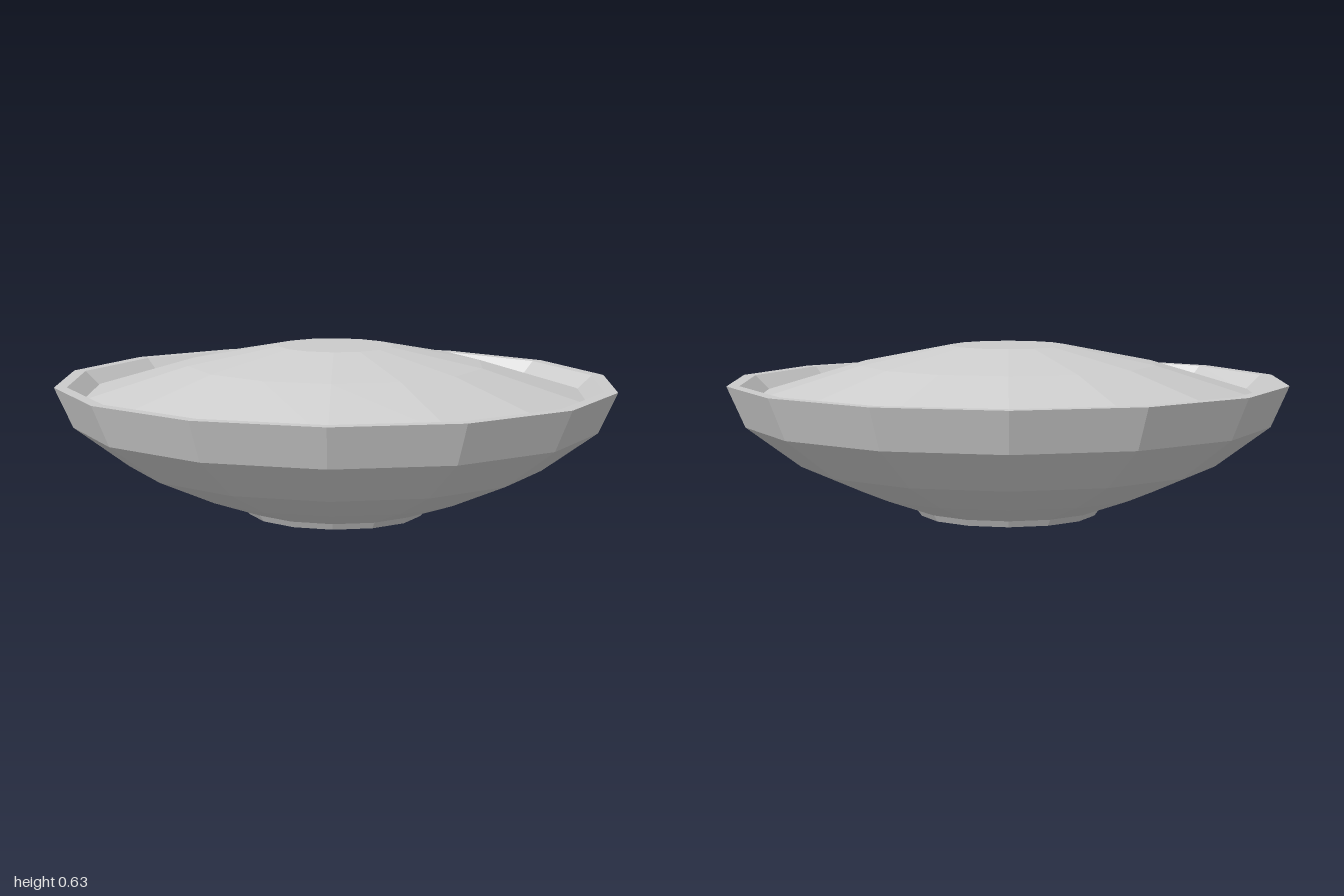
import * as THREE from 'three';

const SIDES = 14;
const DEPTH = 0.643; // oval: depth relative to width
const WIDEN = 1 / Math.cos(Math.PI / SIDES); // side facets sit at the given x

// Faceted oval lathe from [x, y] profile points
function ovalLathe(name, profile) {
  const points = profile.map(([x, y]) => new THREE.Vector2(x * WIDEN, y));
  const geometry = new THREE.LatheGeometry(points, SIDES);
  geometry.scale(1, 1, DEPTH);
  const material = new THREE.MeshStandardMaterial({ color: 0xcccccc, flatShading: true });
  const mesh = new THREE.Mesh(geometry, material);
  mesh.name = name;
  return mesh;
}

export function createModel() {
  const model = new THREE.Group();
  model.name = 'filledBowl';

  // Bowl: base, foot, curved outside, flat rim and short inner wall
  const bowl = ovalLathe('bowl', [
    [0, 0], [0.32, 0], [0.337, 0.025], [0.53, 0.097], [0.75, 0.2],
    [0.94, 0.35], [1, 0.5], [0.955, 0.5], [0.895, 0.44],
  ]);

  // Heaped contents, a low dome with a flat top
  const contents = ovalLathe('contents', [
    [0.93, 0.441], [0.53, 0.566], [0.205, 0.632], [0, 0.632],
  ]);
  contents.position.z = -0.01;

  model.add(bowl, contents);
  return model;
}
